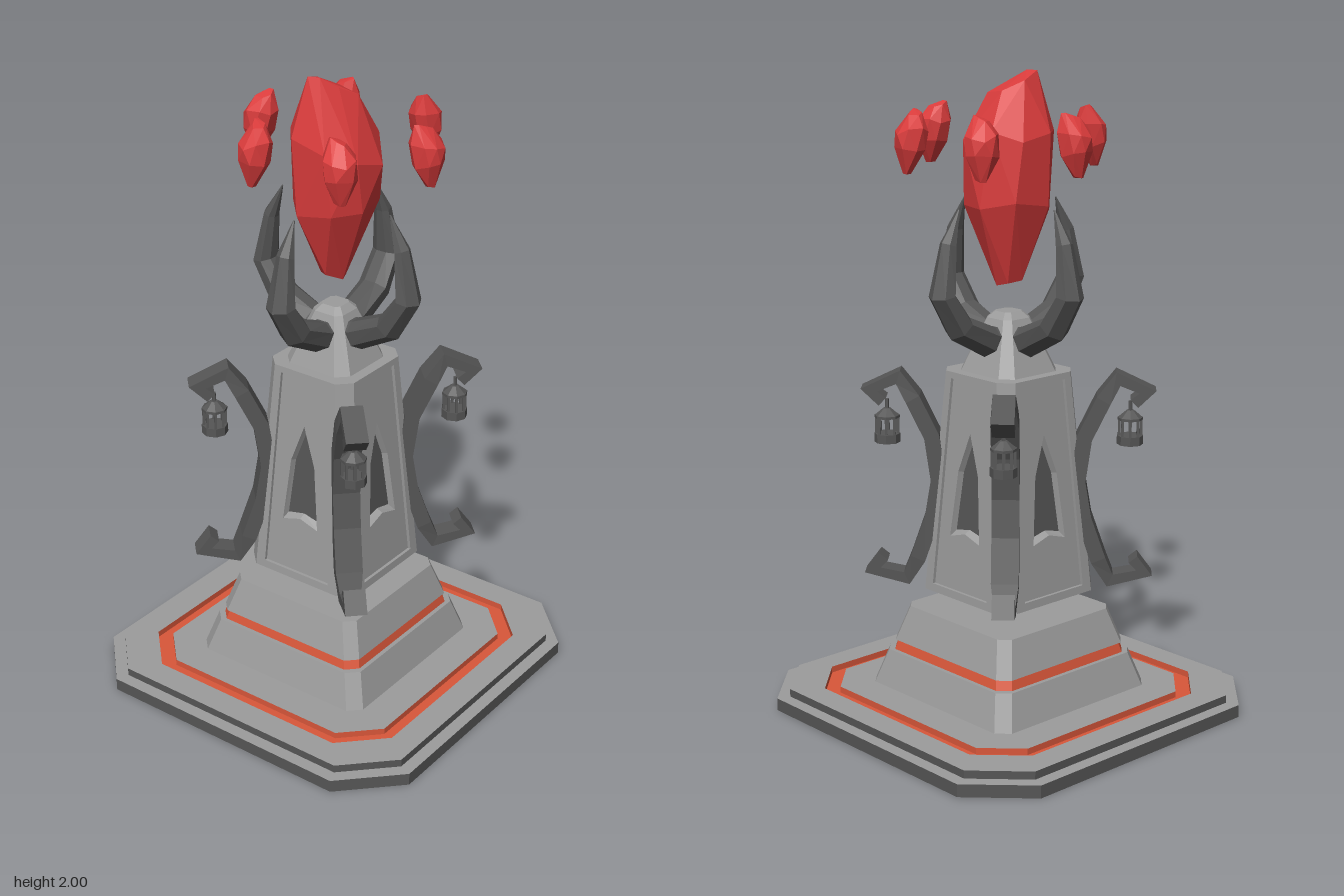
import * as THREE from 'three';
import { ConvexGeometry } from 'three/addons/geometries/ConvexGeometry.js';

const mat = (name, color) => new THREE.MeshStandardMaterial({ name, color, flatShading: true, side: THREE.DoubleSide });
const stone = mat('stone', 0x9c9c9c);
const iron = mat('dark iron', 0x565656);
const orange = mat('orange inlay', 0xd9573a);
const red = mat('red crystal', 0xdb3c3c);

function add(parent, name, geometry, material) {
  const mesh = new THREE.Mesh(geometry, material);
  mesh.name = name;
  parent.add(mesh);
  return mesh;
}

// Skins a list of closed cross-sections, with optional end caps
function loft(rings, capStart = false, capEnd = false) {
  const pos = [];
  const tri = (...pts) => pts.forEach(p => pos.push(...p));
  const n = rings[0].length;
  for (let k = 0; k < rings.length - 1; k++) {
    for (let i = 0; i < n; i++) {
      const j = (i + 1) % n, a = rings[k][i], b = rings[k][j], c = rings[k + 1][j], d = rings[k + 1][i];
      tri(a, d, c);
      tri(a, c, b);
    }
  }
  const last = rings[rings.length - 1];
  for (let i = 1; i < n - 1; i++) {
    if (capStart) tri(rings[0][0], rings[0][i], rings[0][i + 1]);
    if (capEnd) tri(last[0], last[i + 1], last[i]);
  }
  const g = new THREE.BufferGeometry();
  g.setAttribute('position', new THREE.Float32BufferAttribute(pos, 3));
  g.computeVertexNormals();
  return g;
}

// Square with cut corners: half width h, flat side half length c
const octagon = ([h, c, y]) => [[h, c], [c, h], [-c, h], [-h, c], [-h, -c], [-c, -h], [c, -h], [h, -c]].map(([x, z]) => [x, y, z]);
const octLoft = (profile, a, b) => loft(profile.map(octagon), a, b);

// Sweeps a section along a path of [x, y, half thickness, half width]
function sweep(path, section) {
  const pts = path.map(p => new THREE.Vector2(p[0], p[1]));
  const rings = path.map(([x, y, t, w], i) => {
    const before = pts[i].clone().sub(pts[Math.max(i - 1, 0)]).normalize();
    const after = pts[Math.min(i + 1, pts.length - 1)].clone().sub(pts[i]).normalize();
    const dir = before.clone().add(after).normalize();
    const mitre = i && i < pts.length - 1 ? Math.max(0.65, dir.dot(after)) : 1;
    return section.map(([u, v]) => [x + dir.y * u * t / mitre, y - dir.x * u * t / mitre, v * w]);
  });
  return loft(rings, true, true);
}

function buildBase(root) {
  const base = new THREE.Group();
  base.name = 'base';
  root.add(base);
  add(base, 'plateLowerEdge', octLoft([[0.6, 0.43, 0], [0.6, 0.43, 0.04]]), iron);
  add(base, 'plateStep', octLoft([[0.6, 0.43, 0.04], [0.56, 0.415, 0.04]]), stone);
  add(base, 'plateUpperEdge', octLoft([[0.56, 0.415, 0.04], [0.56, 0.415, 0.065]]), iron);
  add(base, 'plateTop', octLoft([[0.56, 0.415, 0.065], [0.475, 0.345, 0.065]]), stone);
  add(base, 'inlayChannel', octLoft([[0.475, 0.345, 0.065], [0.475, 0.345, 0.045], [0.43, 0.322, 0.045], [0.43, 0.322, 0.065]]), orange);
  add(base, 'plateCentre', octLoft([[0.43, 0.322, 0.065], [0.32, 0.282, 0.065]]), stone);
  // Hollow stepped pedestal
  add(base, 'pedestalLower', octLoft([[0.32, 0.282, 0.065], [0.286, 0.25, 0.175], [0.272, 0.238, 0.175]]), stone);
  add(base, 'pedestalBand', octLoft([[0.272, 0.238, 0.175], [0.264, 0.23, 0.207]]), orange);
  add(base, 'pedestalUpper', octLoft([[0.264, 0.23, 0.207], [0.27, 0.236, 0.207], [0.235, 0.203, 0.32]], false, true), stone);
}

function buildTower(root) {
  const tower = new THREE.Group();
  tower.name = 'tower';
  root.add(tower);
  const y0 = 0.385, y1 = 1.09;
  const depth = y => THREE.MathUtils.mapLinear(y, y0, y1, 0.21, 0.155);
  const place = (pts, recess) => pts.map(([x, y]) => [x, y, depth(y) - recess]);
  // Flat outline with an optional hole, laid on the sloping wall
  function slab(outline, hole, recess) {
    const toV = a => a.map(p => new THREE.Vector2(...p));
    const shape = new THREE.Shape(toV(outline));
    if (hole) shape.holes.push(new THREE.Path(toV(hole)));
    const g = new THREE.ShapeGeometry(shape), p = g.attributes.position;
    for (let i = 0; i < p.count; i++) p.setZ(i, depth(p.getY(i)) - recess);
    g.computeVertexNormals();
    return g;
  }
  const outer = [[-0.16, y0], [0.16, y0], [0.115, y1], [-0.115, y1]];
  const panel = [[-0.125, 0.41], [0.125, 0.41], [0.09, 1.07], [-0.09, 1.07]];
  const arch = [[-0.067, 0.575], [0, 0.595], [0.067, 0.575], [0.045, 0.785], [0, 0.91], [-0.045, 0.785]];
  const archBack = [[-0.06, 0.592], [0, 0.605], [0.06, 0.592], [0.041, 0.78], [0, 0.895], [-0.041, 0.78]];
  for (let i = 0; i < 4; i++) {
    const wall = new THREE.Group();
    wall.name = 'wall';
    wall.rotation.y = i * Math.PI / 2;
    tower.add(wall);
    add(wall, 'wallFrame', slab(outer, panel, 0), stone);
    add(wall, 'panelEdge', loft([place(panel, 0.01), place(panel, 0)]), stone);
    add(wall, 'wallPanel', slab(panel, arch, 0.01), stone);
    add(wall, 'windowReveal', loft([place(archBack, 0.03), place(arch, 0.01)]), stone);
    add(wall, 'window', slab(archBack, null, 0.03), iron);
    // Cut corner beside this wall
    add(wall, 'cornerFace', loft([
      [[0.16, y0, 0.21], [0.115, y1, 0.155], [0.155, y1, 0.115], [0.21, y0, 0.16]],
    ], true), stone);
  }
  add(tower, 'towerFloor', loft([octagon([0.21, 0.16, y0])], true), stone);
  add(tower, 'roof', octLoft([[0.155, 0.115, y1], [0.12, 0.085, y1], [0.055, 0.036, 1.255], [0.035, 0.022, 1.275]], false, true), stone);
}

function buildLantern() {
  const g = new THREE.Group();
  g.name = 'lantern';
  add(g, 'lanternBase', new THREE.CylinderGeometry(0.041, 0.041, 0.028, 8), iron).position.y = 0.869;
  add(g, 'lanternRim', new THREE.CylinderGeometry(0.04, 0.04, 0.008, 8), iron).position.y = 0.937;
  add(g, 'lanternCap', new THREE.CylinderGeometry(0.012, 0.038, 0.022, 8), iron).position.y = 0.952;
  add(g, 'lanternHook', new THREE.CylinderGeometry(0.006, 0.006, 0.035, 5), iron).position.y = 0.975;
  for (let i = 0; i < 8; i++) {
    const a = i * Math.PI / 4;
    add(g, 'lanternBar', new THREE.BoxGeometry(0.008, 0.056, 0.008), iron)
      .position.set(Math.cos(a) * 0.034, 0.908, Math.sin(a) * 0.034);
  }
  return g;
}

function buildArmsAndHorns(root) {
  const R = Math.SQRT2;
  const square = [[1, 1], [-1, 1], [-1, -1], [1, -1]];
  const armPath = [[0.277, 0.487], [0.302, 0.443], [0.226, 0.417], [0.2, 0.485], [0.167, 0.62], [0.153, 0.74],
    [0.167, 0.88], [0.208, 1.0], [0.24, 1.068], [0.304, 1.027], [0.275, 0.99]]
    .map(([x, y], i) => [x * R, y, i > 2 && i < 8 ? 0.024 : 0.017, i > 2 && i < 8 ? 0.042 : 0.034]);
  const hornPath = [[0.03, 1.185, 0.045, 0.045], [0.085, 1.188, 0.047, 0.05], [0.205, 1.247, 0.041, 0.05],
    [0.272, 1.352, 0.034, 0.045], [0.245, 1.505, 0.023, 0.027], [0.199, 1.605, 0.002, 0.002]];
  const hornSection = [[1, 0], [0.45, 0.85], [-0.5, 1], [-1, 0.4], [-1, -0.4], [-0.5, -1], [0.45, -0.85]];
  for (let i = 0; i < 4; i++) {
    // Curved corner arm with a hanging lantern
    const corner = new THREE.Group();
    corner.name = 'cornerArm';
    corner.rotation.y = Math.PI / 4 + i * Math.PI / 2;
    root.add(corner);
    add(corner, 'arm', sweep(armPath, square), iron);
    const lantern = buildLantern();
    lantern.position.x = 0.267 * R;
    corner.add(lantern);
    // Claw-like horn around the crystal
    add(root, 'horn', sweep(hornPath, hornSection), iron).rotation.y = i * Math.PI / 2;
  }
}

function buildCrystals(root) {
  // Irregular cut stone, given as its corner points
  const corners = [
    [-0.035, 2.0, 0.085], [0.0, 2.0, 0.075], [0.035, 1.965, 0.03], [-0.06, 1.975, 0.01], [-0.02, 1.945, -0.045], [0.06, 1.935, -0.03],
    [-0.12, 1.82, 0.06], [-0.06, 1.82, 0.132], [0.06, 1.79, 0.13], [0.125, 1.76, 0.06], [0.135, 1.73, -0.05],
    [0.07, 1.8, -0.12], [-0.05, 1.83, -0.115], [-0.118, 1.8, -0.05],
    [-0.112, 1.6, 0.06], [-0.05, 1.58, 0.123], [0.07, 1.6, 0.115], [0.122, 1.6, 0.03], [0.09, 1.6, -0.1],
    [-0.02, 1.6, -0.135], [-0.108, 1.62, -0.07],
    [-0.04, 1.37, 0.02], [0.0, 1.38, 0.05], [0.028, 1.355, 0.0], [0.01, 1.355, -0.04], [-0.03, 1.365, -0.03],
  ].map(p => new THREE.Vector3(...p));
  const gem = new ConvexGeometry(corners);
  add(root, 'largeCrystal', gem, red);
  // Ring of floating shards, leaning inward
  const shard = gem.clone().translate(0, -1.678, 0).scale(0.37, 0.3, 0.37).rotateZ(0.16);
  const ring = new THREE.Group();
  ring.name = 'shardRing';
  ring.position.set(0.015, 1.8, -0.012);
  root.add(ring);
  for (let i = 0; i < 6; i++) {
    const a = 0.1 + i * Math.PI / 3;
    const s = add(ring, 'shard', shard, red);
    s.position.set(Math.cos(a) * 0.284, 0, -Math.sin(a) * 0.284);
    s.rotation.y = a;
  }
}

export function createModel() {
  const root = new THREE.Group();
  root.name = 'crystalTower';
  buildBase(root);
  buildTower(root);
  buildArmsAndHorns(root);
  buildCrystals(root);
  return root;
}
